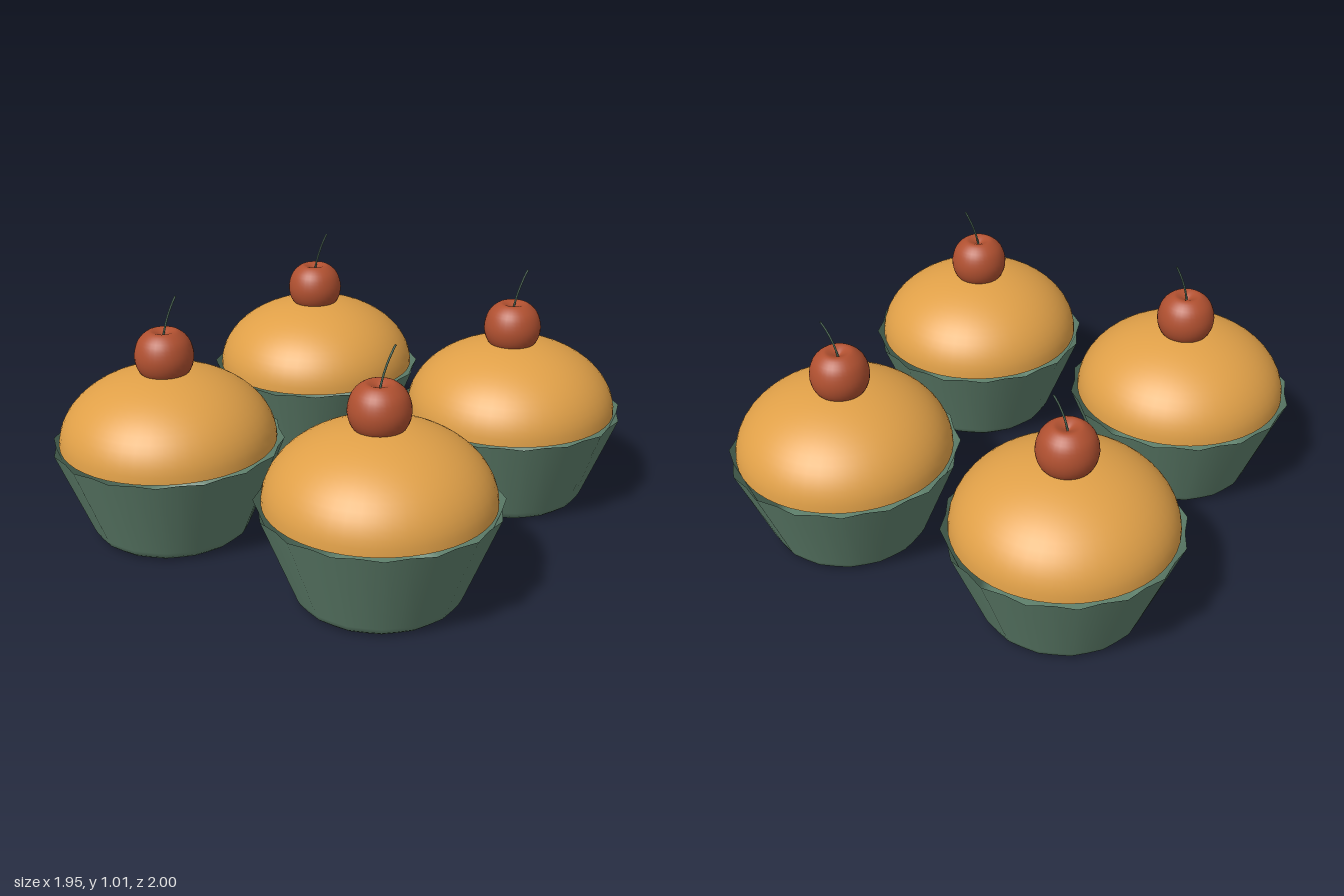
import * as THREE from 'three';

const wrapperGreen = new THREE.MeshStandardMaterial({ color: 0x5f806c, side: THREE.DoubleSide });
wrapperGreen.name = 'wrapper green';
const spongeGold = new THREE.MeshStandardMaterial({ color: 0xe0a048 });
spongeGold.name = 'sponge gold';
const cherryRed = new THREE.MeshStandardMaterial({ color: 0xb05030 });
cherryRed.name = 'cherry red';

const points = (list) => list.map(([r, y]) => new THREE.Vector2(r, y));

function part(name, geometry, material) {
  const mesh = new THREE.Mesh(geometry, material);
  mesh.name = name;
  return mesh;
}

// Tapered paper cup: every second column is pulled in to make 16 flutes
function wrapperGeometry() {
  const profile = points([[0, 0], [0.28, 0], [0.305, 0.006], [0.322, 0.02], [0.333, 0.042], [0.474, 0.4]]);
  const geometry = new THREE.LatheGeometry(profile, 32);
  const pos = geometry.attributes.position;
  const rows = profile.length;
  for (let i = 0; i < pos.count; i++) {
    const column = Math.floor(i / rows);
    if (column % 2 === 0) {
      const s = 1 - 0.036 * Math.min(1, pos.getY(i) / 0.4 + 0.3);
      pos.setX(i, pos.getX(i) * s);
      pos.setZ(i, pos.getZ(i) * s);
    }
  }
  return geometry;
}

// Half ellipsoid cake top
function domeGeometry() {
  const profile = [];
  for (let i = 0; i <= 16; i++) {
    const a = (i / 16) * Math.PI / 2;
    profile.push(new THREE.Vector2(0.444 * Math.cos(a), 0.4 + 0.3 * Math.sin(a)));
  }
  profile[16].x = 0;
  return new THREE.LatheGeometry(profile, 48);
}

// Round cherry with a dimpled top
function cherryGeometry() {
  const curve = new THREE.SplineCurve(points([
    [0, 0.645], [0.06, 0.658], [0.105, 0.7], [0.12, 0.76], [0.103, 0.823],
    [0.062, 0.861], [0.032, 0.857], [0, 0.838],
  ]));
  const profile = curve.getPoints(28);
  profile.forEach((p) => { p.x = Math.max(0, p.x); });
  return new THREE.LatheGeometry(profile, 32);
}

// Thin stem bending outwards
function stemGeometry() {
  const curve = new THREE.QuadraticBezierCurve3(
    new THREE.Vector3(0, 0.835, 0),
    new THREE.Vector3(0.011, 0.925, -0.011),
    new THREE.Vector3(0.04, 1.005, -0.04),
  );
  return new THREE.TubeGeometry(curve, 10, 0.004, 6, false);
}

export function createModel() {
  const model = new THREE.Group();
  model.name = 'cupcakes';
  const wrapper = wrapperGeometry();
  const dome = domeGeometry();
  const cherry = cherryGeometry();
  const stem = stemGeometry();

  // Two rows of two cupcakes
  for (const x of [-0.508, 0.508]) {
    for (const z of [-0.537, 0.537]) {
      const cupcake = new THREE.Group();
      cupcake.name = 'cupcake';
      const topping = new THREE.Group();
      topping.name = 'topping';
      topping.position.set(-0.008, 0, -0.006);
      topping.add(part('cherry', cherry, cherryRed), part('stem', stem, wrapperGreen));
      cupcake.add(part('wrapper', wrapper, wrapperGreen), part('cakeDome', dome, spongeGold), topping);
      cupcake.position.set(x, 0, z);
      model.add(cupcake);
    }
  }
  return model;
}
